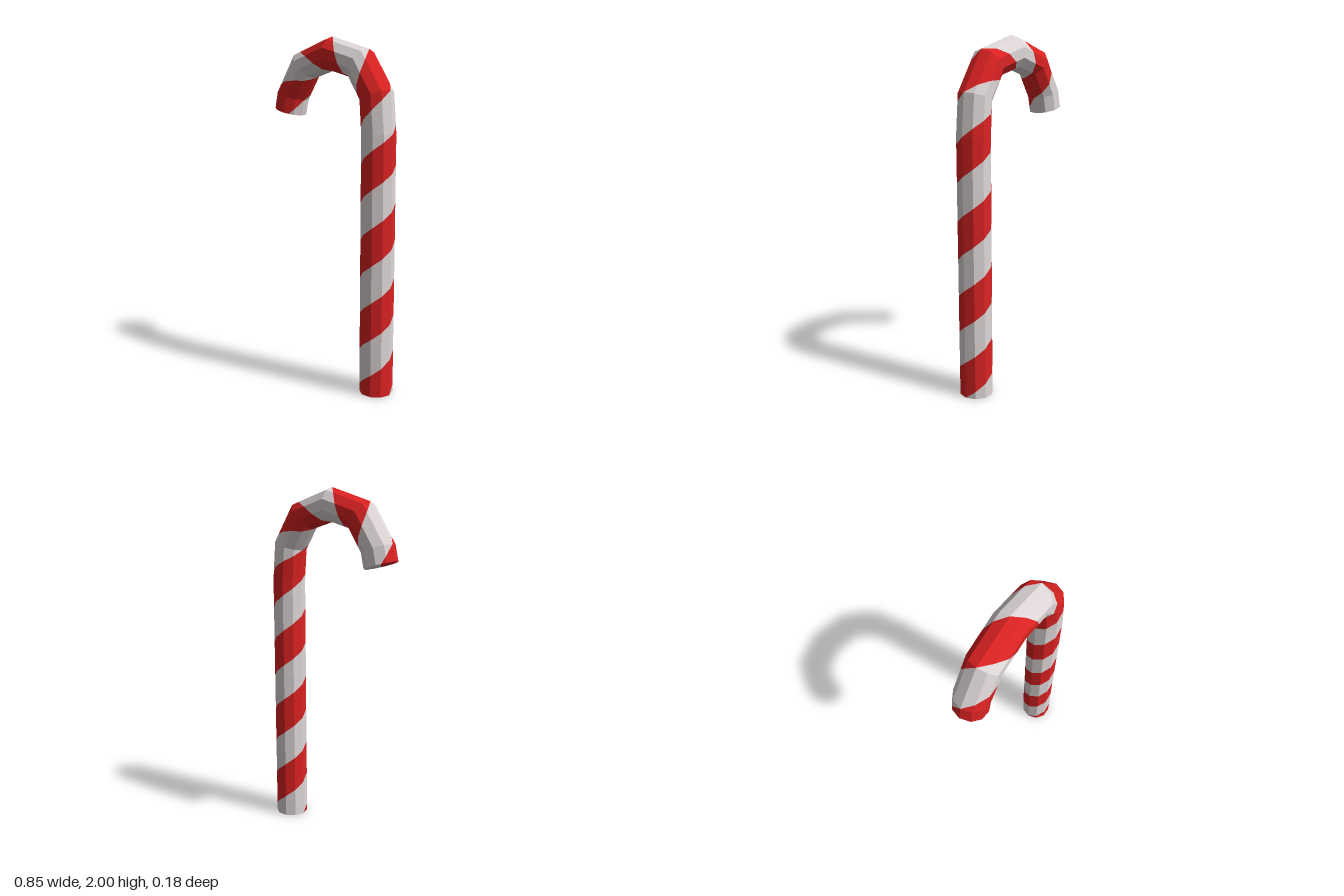
import * as THREE from 'three';

const SIDES = 10, RADIUS = 0.095, V_END = 12.3;
const rad = THREE.MathUtils.degToRad;

// Rings along the cane: v counts half stripe periods, a is the tilt of the outer side
const rings = [];
for (let i = 0; i <= 7; i++) rings.push({ v: i, x: 0.33, y: 0.21 * i, a: 0 });
rings.push(
  { v: 8, x: 0.314, y: 1.674, a: 16 },
  { v: 9, x: 0.202, y: 1.845, a: 52 },
  { v: 10, x: 0, y: 1.905, a: 90 },
  { v: 11, x: -0.202, y: 1.845, a: 128 },
  { v: 12, x: -0.314, y: 1.674, a: 164 },
  { v: V_END, x: -0.334, y: 1.584, a: 164 },
);

// Point on a ring at angle q (degrees from the outer side towards the front)
function ringPoint(ring, q) {
  const c = RADIUS * Math.cos(rad(q));
  return new THREE.Vector3(
    ring.x + c * Math.cos(rad(ring.a)),
    ring.y + c * Math.sin(rad(ring.a)),
    RADIUS * Math.sin(rad(q)),
  );
}

// The stripe coordinate winds twice per turn; even bands are red
const stripe = (p) => p.v + p.q / 180;

// Keep the part of a polygon where sign * (stripe - limit) >= 0
function clip(poly, limit, sign) {
  const out = [];
  poly.forEach((a, i) => {
    const b = poly[(i + 1) % poly.length];
    const da = sign * (stripe(a) - limit), db = sign * (stripe(b) - limit);
    if (da >= 0) out.push(a);
    if (da * db < 0) {
      const f = da / (da - db);
      out.push({
        v: a.v + f * (b.v - a.v),
        q: a.q + f * (b.q - a.q),
        pos: a.pos.clone().lerp(b.pos, f),
      });
    }
  });
  return out;
}

// Cut a polygon at the stripe edges and store its pieces as triangles by colour
function addStriped(poly, bands, center) {
  const t = poly.map(stripe);
  const low = Math.floor(Math.min(...t) + 1e-6), high = Math.ceil(Math.max(...t) - 1e-6);
  for (let k = low; k < high; k++) {
    const piece = clip(clip(poly, k, 1), k + 1, -1);
    const target = bands[Math.abs(k % 2)];
    const hub = center || (piece[0] && piece[0].pos);
    for (let i = center ? 0 : 1; i + 1 < piece.length; i++) {
      for (const p of [hub, piece[i].pos, piece[i + 1].pos]) target.push(p.x, p.y, p.z);
    }
  }
}

// Striped side walls
function buildWalls() {
  const bands = [[], []];
  for (let i = 0; i + 1 < rings.length; i++) {
    const r0 = rings[i], r1 = rings[i + 1];
    for (let j = 0; j < SIDES; j++) {
      const q0 = -180 + j * 36, q1 = q0 + 36;
      const corner = (r, q) => ({ v: r.v, q, pos: ringPoint(r, q) });
      addStriped([corner(r0, q0), corner(r1, q0), corner(r1, q1), corner(r0, q1)], bands);
    }
  }
  return bands;
}

// End cap, cut into wedges where the stripes meet the rim
function buildCap(ring, flip) {
  const bands = [[], []];
  const center = new THREE.Vector3(ring.x, ring.y, 0);
  for (let j = 0; j < SIDES; j++) {
    const q0 = -180 + j * 36, q1 = q0 + 36;
    const stops = [q0, q1];
    for (let k = -2; k < 16; k++) {
      const q = (k - ring.v) * 180;
      if (q > q0 + 1e-4 && q < q1 - 1e-4) stops.push(q);
    }
    stops.sort((a, b) => a - b);
    const p0 = ringPoint(ring, q0), p1 = ringPoint(ring, q1);
    for (let s = 0; s + 1 < stops.length; s++) {
      const a = p0.clone().lerp(p1, (stops[s] - q0) / 36);
      const b = p0.clone().lerp(p1, (stops[s + 1] - q0) / 36);
      const band = Math.floor(ring.v + (stops[s] + stops[s + 1]) / 360);
      const tri = flip ? [center, b, a] : [center, a, b];
      for (const p of tri) bands[Math.abs(band % 2)].push(p.x, p.y, p.z);
    }
  }
  return bands;
}

export function createModel() {
  const red = new THREE.MeshStandardMaterial({ color: 0xdc2222 });
  red.name = 'red';
  const white = new THREE.MeshStandardMaterial({ color: 0xdfd7d7 });
  white.name = 'white';
  // Faces share no vertices, so every facet stays flat
  const group = new THREE.Group();
  group.name = 'candyCane';

  const addPart = (name, bands) => {
    [['Red', red], ['White', white]].forEach(([label, material], i) => {
      if (!bands[i].length) return;
      const geometry = new THREE.BufferGeometry();
      geometry.setAttribute('position', new THREE.Float32BufferAttribute(bands[i], 3));
      geometry.computeVertexNormals();
      const mesh = new THREE.Mesh(geometry, material);
      mesh.name = name + label;
      group.add(mesh);
    });
  };

  addPart('caneStripes', buildWalls());
  addPart('bottomCap', buildCap(rings[0], false));
  addPart('hookCap', buildCap(rings[rings.length - 1], true));
  return group;
}
